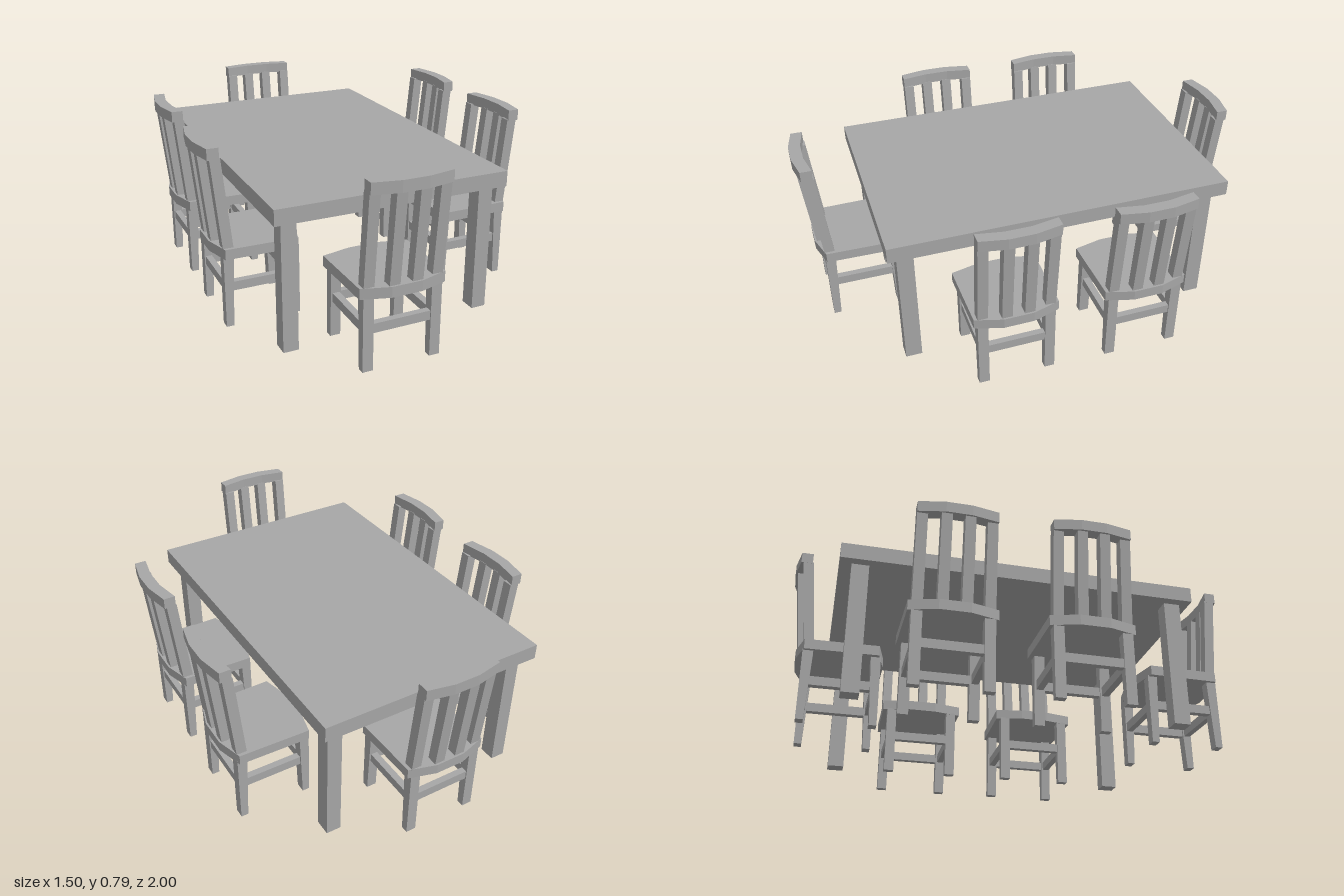
import * as THREE from 'three';

const wood = new THREE.MeshStandardMaterial({ color: 0xa6a6a6 });
wood.name = 'grey wood';

function addMesh(parent, name, geometry) {
  const mesh = new THREE.Mesh(geometry, wood);
  mesh.name = name;
  parent.add(mesh);
  return mesh;
}

// Box given by its lower and upper limits
function block(x0, x1, y0, y1, z0, z1) {
  return new THREE.BoxGeometry(x1 - x0, y1 - y0, z1 - z0)
    .translate((x0 + x1) / 2, (y0 + y1) / 2, (z0 + z1) / 2);
}

// Bar whose depth range changes from bottom to top (leaning or tapered)
function leaningBar(x, width, y0, y1, bottom, top) {
  const g = new THREE.BoxGeometry(width, 1, 1);
  const p = g.attributes.position;
  for (let i = 0; i < p.count; i++) {
    const up = p.getY(i) > 0;
    p.setXYZ(i, x + p.getX(i), up ? y1 : y0, (up ? top : bottom)[p.getZ(i) > 0 ? 1 : 0]);
  }
  g.computeVertexNormals();
  return g;
}

// Horizontal slab cut from an outline in x and z
function slab(points, y0, y1) {
  const shape = new THREE.Shape(points.map(([x, z]) => new THREE.Vector2(x, z)));
  return new THREE.ExtrudeGeometry(shape, { depth: y1 - y0, bevelEnabled: false })
    .rotateX(Math.PI / 2).translate(0, y1, 0);
}

// Chair: seat front at z = 0, backrest towards +z
function createChair(name) {
  const chair = new THREE.Group();
  chair.name = name;

  addMesh(chair, 'seat', slab([
    [-0.19, 0.028], [-0.065, 0], [0.065, 0], [0.19, 0.028],
    [0.184, 0.345], [0.065, 0.38], [-0.065, 0.38], [-0.184, 0.345],
  ], 0.315, 0.36));

  for (const s of [-1, 1]) {
    addMesh(chair, 'frontLeg', leaningBar(s * 0.147, 0.045, 0, 0.32, [0.018, 0.05], [0.018, 0.062]));
    addMesh(chair, 'backLeg', leaningBar(s * 0.147, 0.045, 0, 0.32, [0.318, 0.35], [0.305, 0.35]));
    addMesh(chair, 'sideStretcher', block(s * 0.147 - 0.015, s * 0.147 + 0.015, 0.16, 0.2, 0.04, 0.325));
    addMesh(chair, 'backPost', leaningBar(s * 0.147, 0.045, 0.355, 0.75, [0.305, 0.35], [0.343, 0.388]));
    addMesh(chair, 'backSlat', leaningBar(s * 0.049, 0.045, 0.355, 0.75, [0.326, 0.371], [0.366, 0.411]));
  }
  for (const z of [0.037, 0.331]) {
    addMesh(chair, 'crossStretcher', block(-0.147, 0.147, 0.16, 0.2, z - 0.014, z + 0.014));
  }

  // Curved rail across the top of the backrest
  addMesh(chair, 'topRail', slab([
    [-0.17, 0.347], [-0.055, 0.368], [0.055, 0.368], [0.17, 0.347],
    [0.17, 0.397], [0.055, 0.42], [-0.055, 0.42], [-0.17, 0.397],
  ], 0.745, 0.793));
  return chair;
}

function createTable() {
  const table = new THREE.Group();
  table.name = 'table';
  addMesh(table, 'tableTop', block(-0.58, 0.45, 0.57, 0.638, -0.815, 0.715));
  for (const x of [-0.507, 0.377]) {
    for (const z of [-0.73, 0.637]) {
      addMesh(table, 'tableLeg', block(x - 0.033, x + 0.033, 0, 0.575, z - 0.036, z + 0.036));
    }
  }
  return table;
}

export function createModel() {
  const model = new THREE.Group();
  model.name = 'diningSet';
  model.add(createTable());

  // Name, x, z and turn of each chair
  const q = Math.PI / 2;
  const places = [
    ['frontChair', -0.147, 0.58, 0],
    ['backChair', -0.05, -0.578, Math.PI],
    ['leftFrontChair', 0.313, 0.24, q],
    ['leftBackChair', 0.326, -0.333, q],
    ['rightFrontChair', -0.332, 0.213, -q],
    ['rightBackChair', -0.322, -0.36, -q],
  ];
  for (const [name, x, z, turn] of places) {
    const chair = createChair(name);
    chair.position.set(x, 0, z);
    chair.rotation.y = turn;
    model.add(chair);
  }
  return model;
}
